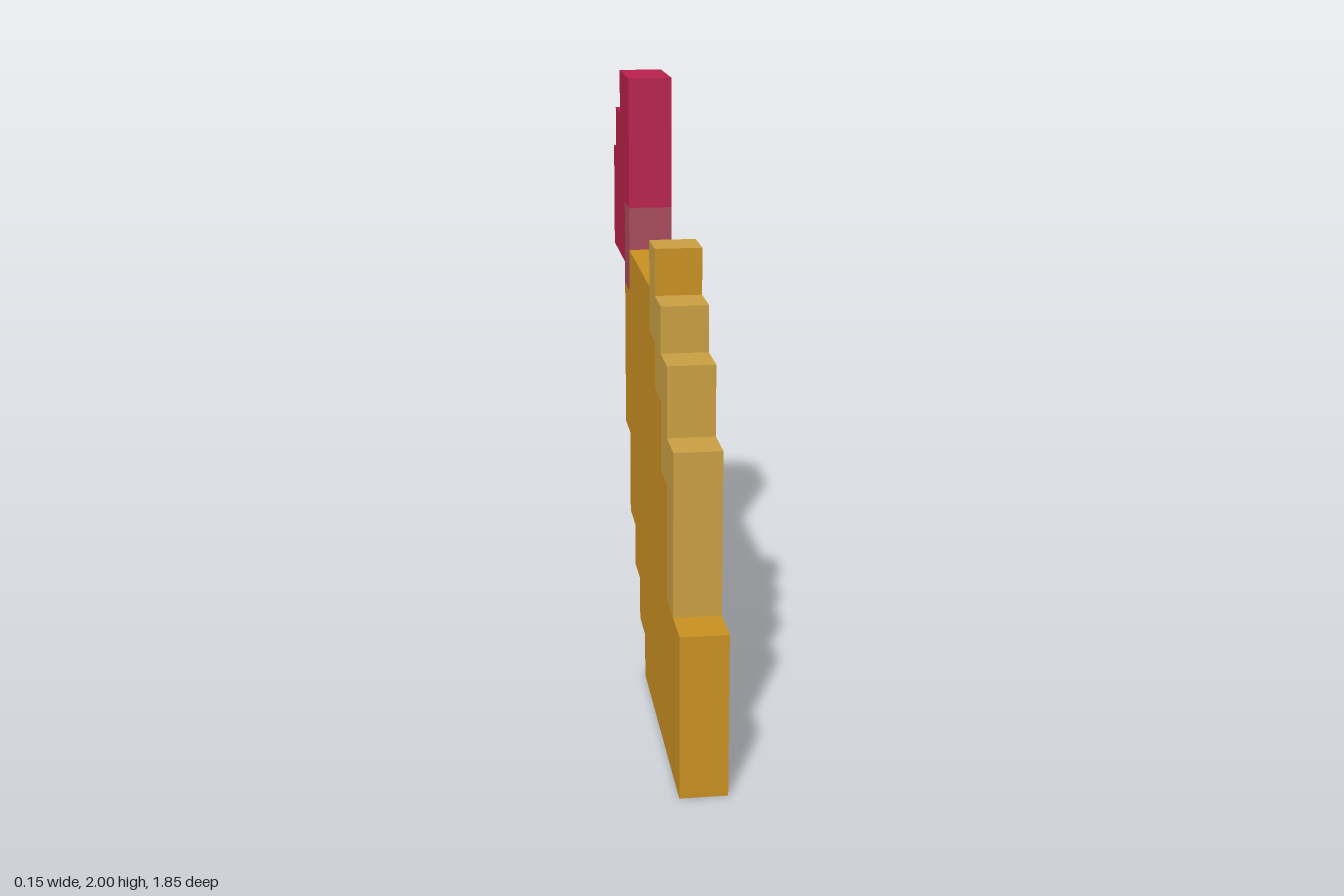
import * as THREE from 'three';

const WIDTH = 0.148;

function material(name, color) {
  const m = new THREE.MeshStandardMaterial({ color });
  m.name = name;
  return m;
}

// Flat slab from a stepped outline of [z, y] corners, centred on x = 0
function slab(name, outline, mat) {
  const shape = new THREE.Shape(outline.map(([z, y]) => new THREE.Vector2(z, y)));
  const geo = new THREE.ExtrudeGeometry(shape, { depth: WIDTH, bevelEnabled: false });
  geo.translate(0, 0, -WIDTH / 2).rotateY(-Math.PI / 2);
  const mesh = new THREE.Mesh(geo, mat);
  mesh.name = name;
  return mesh;
}

export function createModel() {
  const gold = material('gold', 0xc88f22);
  const tan = material('pale gold', 0xc89e42);
  const crimson = material('crimson', 0xb7214a);
  const mauve = material('mauve', 0xa84a5c);
  const group = new THREE.Group();
  group.name = 'steppedFin';

  // Main body with a stepped rear underside
  group.add(slab('body', [
    [0.925, 0], [0.925, 0.52], [0.63, 0.52], [0.63, 0.89], [0.48, 0.89], [0.48, 1.11],
    [0.333, 1.11], [0.333, 1.26], [0.187, 1.26], [0.187, 1.407], [-0.407, 1.407],
    [-0.407, 1.26], [-0.555, 1.26], [-0.555, 0.743], [-0.407, 0.743], [-0.407, 0.447],
    [-0.258, 0.447], [-0.258, 0.298], [-0.11, 0.298], [-0.11, 0.15], [0.04, 0.15], [0.04, 0],
  ], gold));

  // Pale stepped front edge
  group.add(slab('frontEdge', [
    [0.777, 0.52], [0.777, 1.037], [0.63, 1.037], [0.63, 1.26], [0.48, 1.26], [0.48, 1.407],
    [0.187, 1.407], [0.187, 1.26], [0.333, 1.26], [0.333, 1.11], [0.48, 1.11],
    [0.48, 0.89], [0.63, 0.89], [0.63, 0.52],
  ], tan));

  // Highest step of the edge, with a gold front face
  const step = new THREE.Mesh(
    new THREE.BoxGeometry(WIDTH, 0.148, 0.146), [tan, tan, tan, tan, gold, tan]);
  step.name = 'topStep';
  step.position.set(0, 1.481, 0.26);
  group.add(step);

  // Blended joint between body and tip
  group.add(slab('joint', [
    [-0.407, 1.26], [-0.407, 1.555], [-0.555, 1.555], [-0.555, 1.26],
  ], mauve));

  // Crimson tip with stepped rear corner
  group.add(slab('tip', [
    [-0.407, 1.555], [-0.407, 2], [-0.703, 2], [-0.703, 1.852], [-0.852, 1.852],
    [-0.852, 1.703], [-0.925, 1.703], [-0.925, 1.336], [-0.555, 1.336], [-0.555, 1.555],
  ], crimson));

  return group;
}
